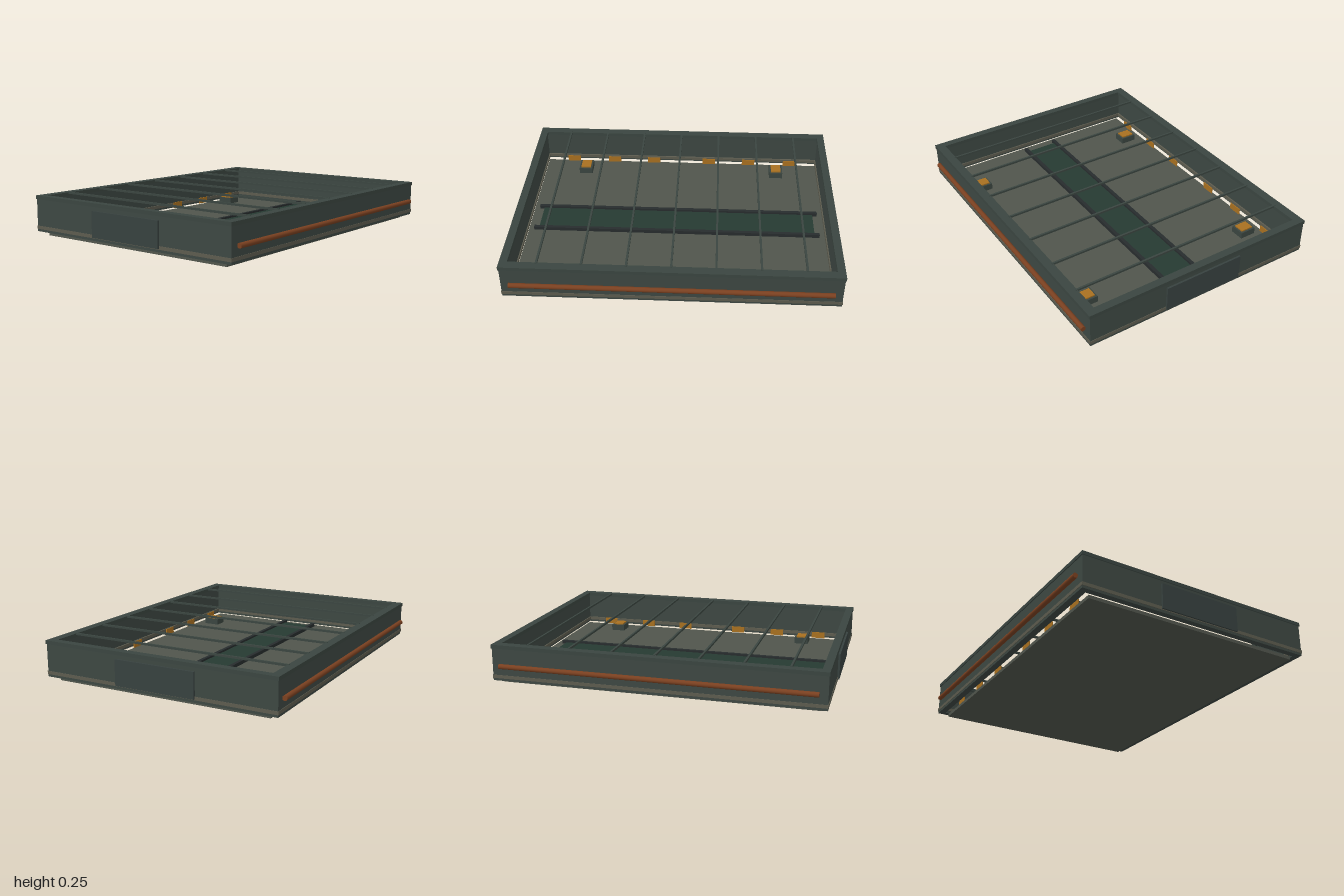
import * as THREE from 'three';

const mat = (color) => new THREE.MeshStandardMaterial({ color });

export function createModel() {
  const root = new THREE.Group();
  const wallMat = mat(0x3d4742), rimMat = mat(0x3a4540), floorMat = mat(0x50554c);
  const stripMat = mat(0x5c5b4e), darkMat = mat(0x272c2d), greenMat = mat(0x263a32);
  const panelMat = mat(0x37413f), rustMat = mat(0x7a4020), amberMat = mat(0xa87020);

  // box given by its centre x, bottom y, centre z
  const box = (name, material, w, h, d, x, y, z) => {
    const mesh = new THREE.Mesh(new THREE.BoxGeometry(w, h, d), material);
    mesh.name = name;
    mesh.position.set(x, y + h / 2, z);
    root.add(mesh);
    return mesh;
  };

  // rectangular ring lying flat, built from an extruded outline with a hole
  const ring = (name, material, ox, oz, ix, iz, y, h) => {
    const rect = (Type, a, b) => {
      const p = new Type();
      p.moveTo(-a, -b); p.lineTo(a, -b); p.lineTo(a, b); p.lineTo(-a, b); p.closePath();
      return p;
    };
    const shape = rect(THREE.Shape, ox, oz);
    shape.holes.push(rect(THREE.Path, ix, iz));
    const geo = new THREE.ExtrudeGeometry(shape, { depth: h, bevelEnabled: false });
    geo.rotateX(-Math.PI / 2);
    const mesh = new THREE.Mesh(geo, material);
    mesh.name = name;
    mesh.position.y = y;
    root.add(mesh);
  };

  // floor slab and the surrounding tray walls
  box('floor', floorMat, 1.38, 0.02, 1.9, 0, 0, 0);
  ring('walls', wallMat, 0.75, 0.988, 0.71, 0.952, 0.025, 0.2);
  ring('baseStrip', stripMat, 0.753, 0.991, 0.7, 0.945, 0.04, 0.02);
  ring('topRim', rimMat, 0.755, 0.992, 0.7, 0.945, 0.223, 0.022);

  // centre runner with its two guide bars
  box('centreRunner', greenMat, 0.2, 0.01, 1.77, 0, 0.02, 0);
  for (const s of [-1, 1]) box('guideBar', darkMat, 0.022, 0.022, 1.83, s * 0.112, 0.02, 0);

  // thin cross bars between the side walls, level with the rim
  for (let i = -3; i <= 3; i++) box('crossBar', rimMat, 1.42, 0.012, 0.012, 0, 0.236, i * 0.259);

  for (const s of [-1, 1]) {
    // end panels on front and back
    box('endPanel', panelMat, 0.514, 0.155, 0.012, 0, 0.045, s * 0.994);

    // side pipes
    const pipe = new THREE.Mesh(new THREE.CylinderGeometry(0.015, 0.015, 1.88, 16), rustMat);
    pipe.name = 'sidePipe';
    pipe.rotation.x = Math.PI / 2;
    pipe.position.set(s * 0.763, 0.118, 0);
    root.add(pipe);

    // small marker plates along the inner sides
    for (const z of [-0.765, -0.475, -0.195, 0.195, 0.475, 0.765])
      box('markerPlate', amberMat, 0.006, 0.04, 0.088, s * 0.67, 0.03, z);

    // corner lamps: housing and lens
    for (const z of [-0.665, 0.665]) {
      box('lampHousing', rimMat, 0.105, 0.04, 0.09, s * 0.58, 0.02, z);
      box('lampLens', amberMat, 0.082, 0.01, 0.066, s * 0.58, 0.058, z);
    }
  }
  return root;
}
